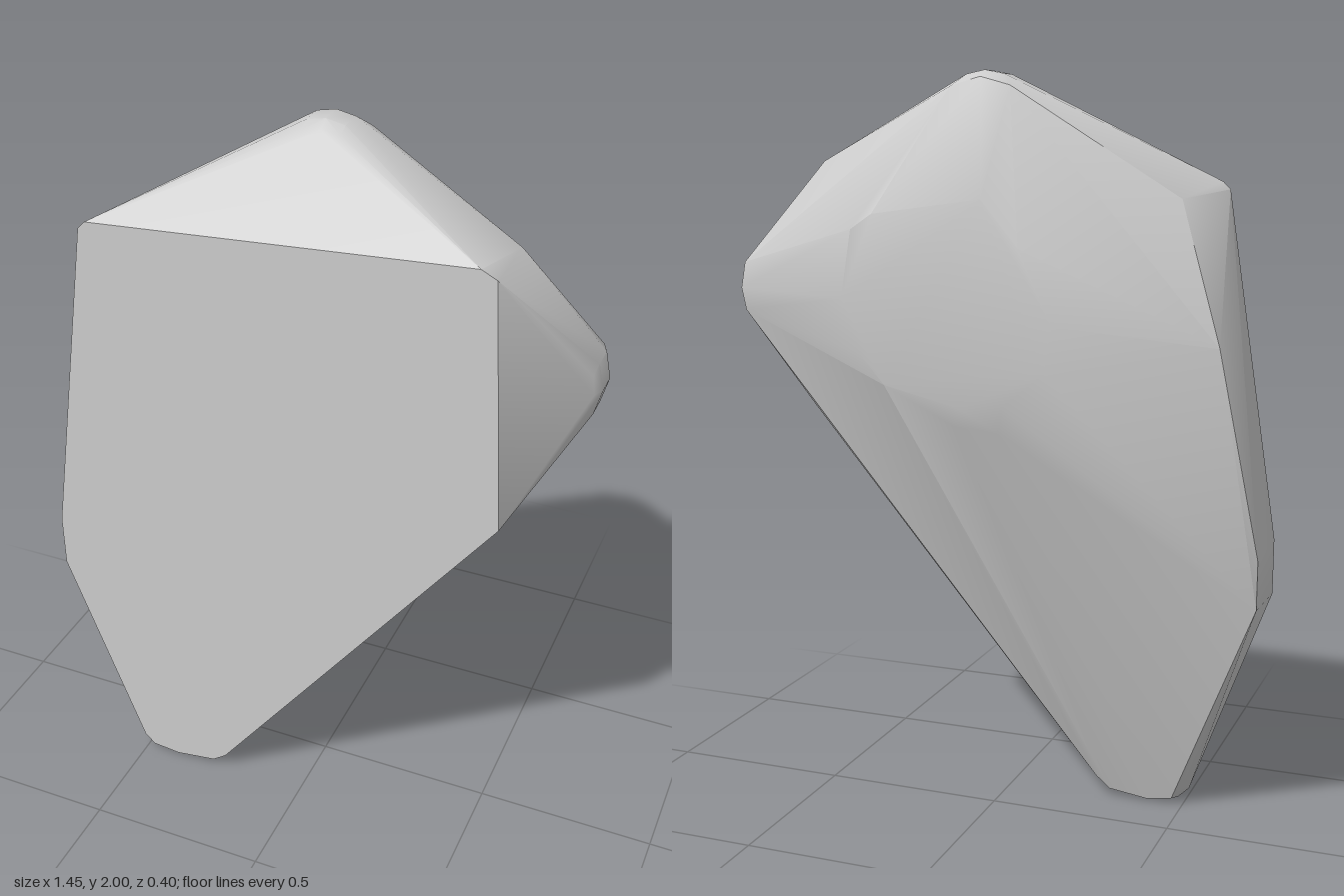
import * as THREE from 'three';
import { ConvexGeometry } from 'three/addons/geometries/ConvexGeometry.js';
import { toCreasedNormals } from 'three/addons/utils/BufferGeometryUtils.js';

// Places a list of [x, y] outline corners at one depth.
const ring = (z, outline) => outline.map(([x, y]) => new THREE.Vector3(x, y, z));

export function createModel() {
  const group = new THREE.Group();
  group.name = 'rock';

  const points = [
    // flat front face
    ...ring(0.2, [[-0.58, 1.70], [-0.56, 1.72], [0.46, 1.79], [0.5, 1.77], [0.545, 1.10],
      [-0.24, 0.05], [-0.28, 0.02], [-0.4, 0.002], [-0.48, 0.01], [-0.51, 0.04],
      [-0.725, 0.63], [-0.725, 0.78]]),
    // blunt foot
    ...ring(0.157, [[-0.25, 0.055], [-0.29, 0.022], [-0.4, 0.008], [-0.47, 0.02], [-0.5, 0.06]]),
    // rounded peak
    ...ring(0.03, [[-0.05, 1.975], [0, 1.982], [0.05, 1.975]]),
    ...ring(0, [[-0.05, 1.99], [0, 2], [0.05, 1.99]]),
    ...ring(-0.065, [[-0.05, 1.99], [0, 2], [0.05, 1.99]]),
    ...ring(-0.098, [[-0.08, 1.96], [0, 1.982], [0.08, 1.96]]),
    // rounded side point
    ...ring(0.03, [[0.7, 1.48], [0.706, 1.43], [0.695, 1.39]]),
    ...ring(0, [[0.705, 1.5], [0.72, 1.43], [0.702, 1.36]]),
    ...ring(-0.065, [[0.705, 1.5], [0.72, 1.43], [0.702, 1.36]]),
    ...ring(-0.1, [[0.69, 1.5], [0.703, 1.43], [0.69, 1.37]]),
    // shoulders and side edges
    ...ring(0.015, [[0.5, 1.77], [0.545, 1.10], [-0.5, 1.68]]),
    ...ring(-0.01, [[-0.725, 0.64], [-0.725, 0.77]]),
    ...ring(-0.09, [[-0.63, 1.32]]),
    // back plateau
    ...ring(-0.2, [[0.32, 1.6], [0.26, 1.64], [-0.04, 1.68], [-0.14, 1.56], [-0.23, 1.37],
      [-0.21, 1.25], [-0.1, 1.16], [0.02, 1.15], [0.23, 1.2], [0.3, 1.28], [0.35, 1.42]]),
    // ridge below the plateau
    ...ring(-0.185, [[-0.08, 1.09], [0.04, 1.1]]),
  ];

  const geometry = toCreasedNormals(new ConvexGeometry(points), 0.5);
  const mesh = new THREE.Mesh(geometry, new THREE.MeshStandardMaterial({ color: 0xcccccc }));
  mesh.name = 'rockBody';
  group.add(mesh);
  return group;
}
